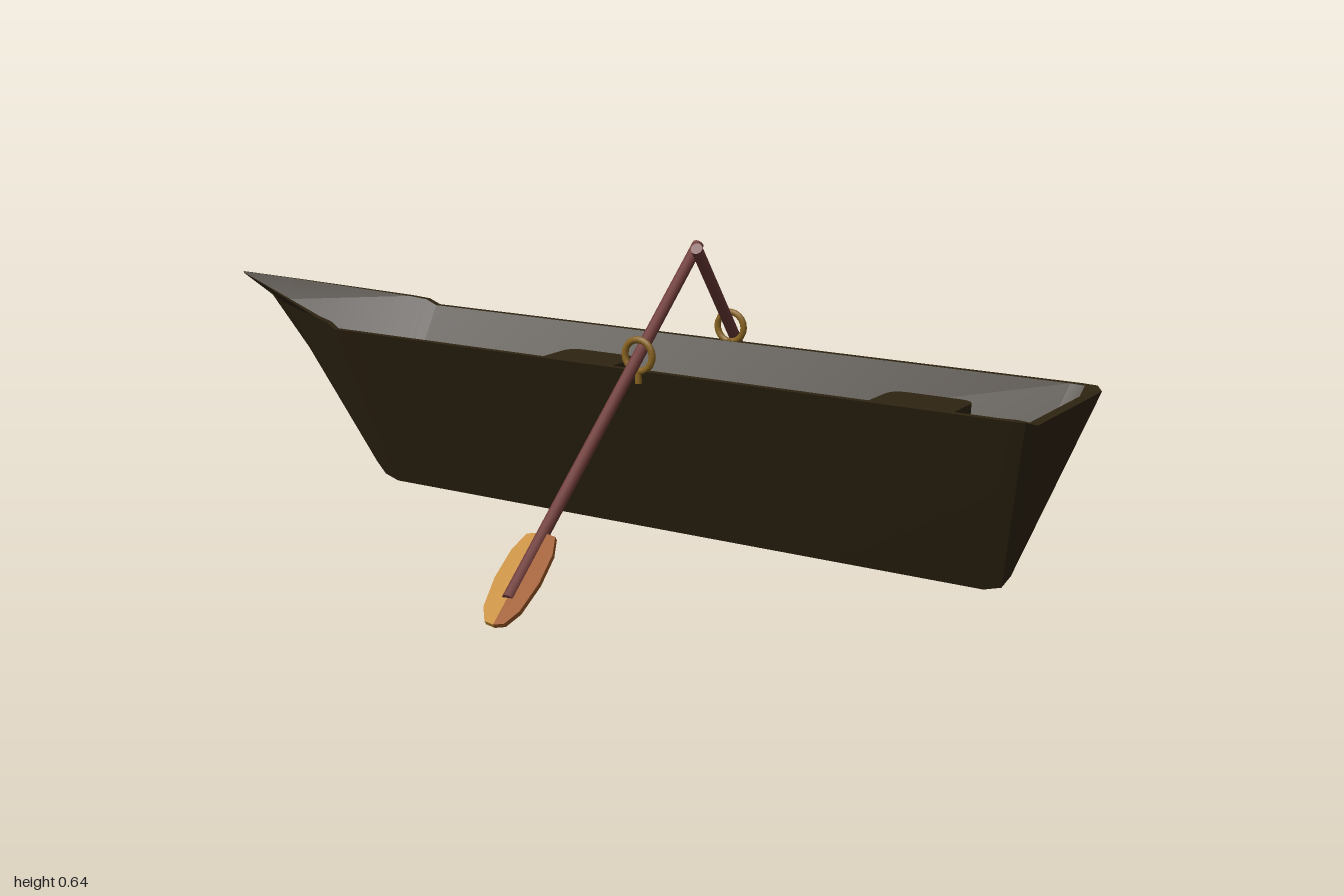
import * as THREE from 'three';
import { toCreasedNormals } from 'three/addons/utils/BufferGeometryUtils.js';

const mat = (name, color, side = THREE.FrontSide) => {
  const m = new THREE.MeshStandardMaterial({ color, side });
  m.name = name;
  return m;
};
const V = (x, y, z) => new THREE.Vector3(x, y, z);
const lerp = THREE.MathUtils.lerp;

const CZ = -0.018; // centre line of the boat

// Stations from bow to stern: keel x, keel y, gunwale x, gunwale y, half width
const STATIONS = [
  [-0.995, 0.466, -1.0, 0.47, 0.003],
  [-0.88, 0.41, -0.88, 0.456, 0.056],
  [-0.61, 0.072, -0.63, 0.425, 0.167],
  [-0.585, 0.046, -0.59, 0.42, 0.178],
  [-0.55, 0.035, -0.565, 0.408, 0.183],
  [0.85, 0.035, 0.955, 0.408, 0.183],
  [0.885, 0.045, 0.985, 0.408, 0.178],
  [0.902, 0.07, 1.0, 0.402, 0.16],
];

// Cross-section rows: front gunwale, keel, back gunwale
const outerRow = ([kx, ky, tx, ty, w]) => [V(tx, ty, CZ + w), V(kx, ky, CZ), V(tx, ty, CZ - w)];
const innerRow = ([kx, ky, tx, ty, w]) => {
  const s = (x) => (x > 0 ? x * 0.98 : x);
  const iw = w * 0.92;
  return [
    V(s(tx), ty, CZ + iw),
    V(s(lerp(kx, tx, 0.12)), lerp(ky, ty, 0.12), CZ),
    V(s(tx), ty, CZ - iw),
  ];
};

function triangles(points) {
  const g = new THREE.BufferGeometry().setFromPoints(points);
  g.computeVertexNormals();
  return g;
}

// Skin between rows of points
function loft(rows) {
  const pts = [];
  for (let i = 0; i < rows.length - 1; i++) {
    for (let j = 0; j < rows[i].length - 1; j++) {
      const a = rows[i][j], b = rows[i + 1][j], c = rows[i + 1][j + 1], d = rows[i][j + 1];
      pts.push(a, b, c, a, c, d);
    }
  }
  return toCreasedNormals(triangles(pts), 0.36);
}

function mesh(name, geometry, material) {
  const m = new THREE.Mesh(geometry, material);
  m.name = name;
  return m;
}

function createHull(material) {
  const hull = new THREE.Group();
  hull.name = 'hull';
  const out = STATIONS.map(outerRow);
  const inn = STATIONS.map(innerRow);
  const [of, ok, ob] = out[out.length - 1];
  const [nf, nk, nb] = inn[inn.length - 1];
  hull.add(
    mesh('outerPlanking', loft(out.map((r) => [...r].reverse())), material),
    mesh('innerPlanking', loft(inn), material),
    mesh('frontGunwale', loft(out.map((r, i) => [r[0], inn[i][0]])), material),
    mesh('backGunwale', loft(out.map((r, i) => [inn[i][2], r[2]])), material),
    mesh('sternRim', loft([[nf, nb], [of, ob]]), material),
    mesh('transom', triangles([ok, ob, of]), material),
    mesh('transomInside', triangles([nk, nf, nb]), material),
  );
  return hull;
}

// Bench with two rounded corners, wedged between the planks
function createSeat(x, material) {
  const w = 0.088, far = 0.158, near = -0.12, r = 0.035;
  const s = new THREE.Shape();
  s.moveTo(-w, near);
  s.lineTo(w, near);
  s.lineTo(w, far - r);
  s.quadraticCurveTo(w, far, w - r, far);
  s.lineTo(r - w, far);
  s.quadraticCurveTo(-w, far, -w, far - r);
  const g = new THREE.ExtrudeGeometry(s, { depth: 0.02, bevelEnabled: false, curveSegments: 6 });
  g.rotateX(-Math.PI / 2);
  const seat = mesh('seat', g, material);
  seat.position.set(x, 0.337, 0);
  return seat;
}

// Half of a paddle blade, side = 1 or -1
function bladeHalf(side) {
  const outline = [[0, 0], [0.02, 0.005], [0.037, 0.035], [0.046, 0.1], [0.043, 0.165], [0.03, 0.205], [0, 0.212]];
  const s = new THREE.Shape(outline.map(([x, y]) => new THREE.Vector2(x * side, y)));
  const g = new THREE.ExtrudeGeometry(s, { depth: 0.009, bevelEnabled: false });
  return g.translate(0, 0, -0.0045);
}

// Oar from its low end to its handle; goldSide tells which blade half is lighter
function createOar(name, low, high, goldSide, roll, mats) {
  const oar = new THREE.Group();
  oar.name = name;
  const dir = high.clone().sub(low);
  const length = dir.length();
  dir.normalize();
  const across = V(1, 0, 0).addScaledVector(dir, -dir.x).normalize();
  const normal = across.clone().cross(dir);
  oar.setRotationFromMatrix(new THREE.Matrix4().makeBasis(across, dir, normal));
  oar.position.copy(low);

  const shaft = mesh('shaft', new THREE.CylinderGeometry(0.012, 0.012, length, 12), mats.shaft);
  shaft.position.y = length / 2;
  const blade = new THREE.Group();
  blade.name = 'blade';
  blade.position.y = -0.06;
  blade.rotation.y = roll;
  blade.add(
    mesh('lightBladeHalf', bladeHalf(goldSide), mats.gold),
    mesh('darkBladeHalf', bladeHalf(-goldSide), mats.amber),
  );
  oar.add(shaft, blade);
  return oar;
}

// Ring standing on the gunwale with a short post
function createOarlock(z, material) {
  const lock = new THREE.Group();
  lock.name = 'oarlock';
  const ring = mesh('ring', new THREE.TorusGeometry(0.031, 0.007, 8, 20), material);
  const post = mesh('post', new THREE.CylinderGeometry(0.007, 0.007, 0.03, 8), material);
  post.position.y = -0.04;
  lock.add(ring, post);
  lock.position.set(0.2, 0.437, z);
  return lock;
}

export function createModel() {
  const mats = {
    hull: mat('darkWood', 0x2f2411),
    shaft: mat('redWood', 0x6e3c39),
    gold: mat('goldenWood', 0xc48a33),
    amber: mat('amberWood', 0x9c5826),
    brass: mat('brass', 0x87621f),
  };
  const boat = new THREE.Group();
  boat.name = 'rowingBoat';
  boat.add(createHull(mats.hull));
  for (const x of [-0.085, 0.675]) boat.add(createSeat(x, mats.hull));
  for (const z of [0.16, -0.196]) boat.add(createOarlock(z, mats.brass));
  boat.add(
    createOar('frontOar', V(0.25, 0.095, 0.66), V(0.172, 0.617, -0.107), -1, 0, mats),
    createOar('backOar', V(0.087, 0.043, -0.67), V(0.25, 0.632, 0.03), 1, 0.25, mats),
  );
  return boat;
}
